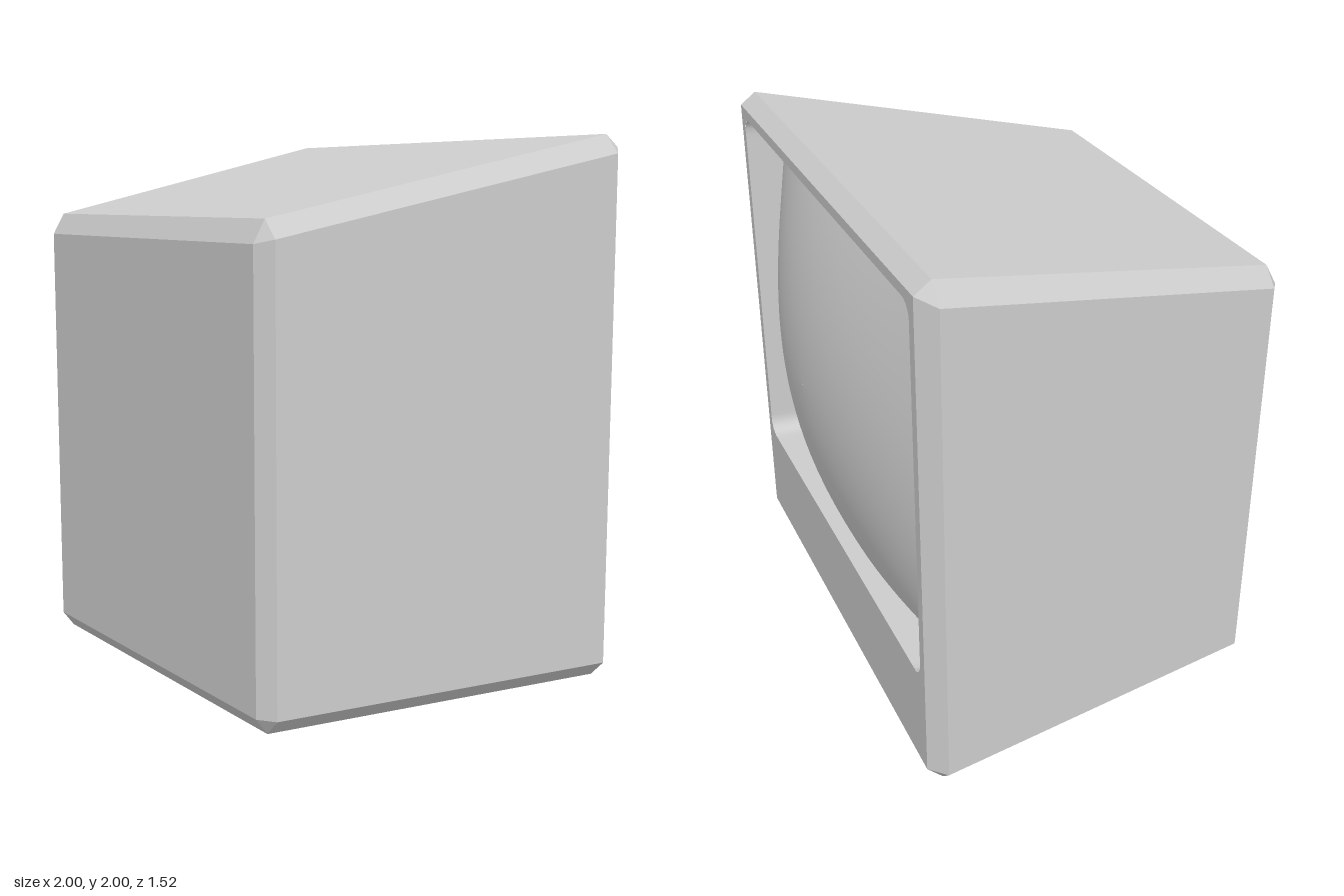
import * as THREE from 'three';
import { ConvexGeometry } from 'three/addons/geometries/ConvexGeometry.js';

const BACK = -0.665; // plane of the screen side
const HALF_W = 0.9, HALF_H = 0.73, MID_Y = 1.185; // screen opening

// Bulge of the glass, deepest at the corners of the opening
function glassZ(x, y) {
  const u = (x / HALF_W) ** 2, v = ((y - MID_Y) / HALF_H) ** 2;
  return -0.76 + 0.21 * u + 0.16 * v - 0.1 * u * v;
}

// Counter-clockwise rounded rectangle
function openingPath() {
  const r = 0.06, w = HALF_W, b = MID_Y - HALF_H, t = MID_Y + HALF_H;
  const p = new THREE.Path();
  p.moveTo(-w + r, b);
  p.lineTo(w - r, b);
  p.absarc(w - r, b + r, r, -Math.PI / 2, 0);
  p.lineTo(w, t - r);
  p.absarc(w - r, t - r, r, 0, Math.PI / 2);
  p.lineTo(-w + r, t);
  p.absarc(-w + r, t - r, r, Math.PI / 2, Math.PI);
  p.lineTo(-w, b + r);
  p.absarc(-w + r, b + r, r, Math.PI, Math.PI * 1.5);
  return p;
}

// Joins closed loops of equal length into a surface seen from -z
function loft(loops) {
  const n = loops[0].length, index = [];
  for (let i = 0; i < loops.length - 1; i++) {
    for (let j = 0; j < n; j++) {
      const k = (j + 1) % n;
      const a = i * n + j, b = i * n + k, c = a + n, d = b + n;
      index.push(a, d, c, a, b, d);
    }
  }
  const g = new THREE.BufferGeometry().setFromPoints(loops.flat());
  g.setIndex(index);
  g.computeVertexNormals();
  return g;
}

// Chamfered, tapered case without the face that holds the screen
function caseGeometry() {
  const pts = [];
  for (const s of [-1, 1]) {
    pts.push(
      // wide end: side, top/bottom and end corners
      [s, 0.06, -0.605], [s, 1.93, -0.605],
      [s * 0.94, 0, -0.605], [s * 0.94, 2, -0.605],
      [s * 0.94, 0.06, BACK], [s * 0.94, 1.955, BACK],
      // narrow end
      [s * 0.805, 0.06, 0.72], [s * 0.805, 1.645, 0.72],
      [s * 0.745, 0, 0.72], [s * 0.745, 1.71, 0.72],
      [s * 0.745, 0.06, 0.765], [s * 0.745, 1.63, 0.765]
    );
  }
  const hull = new ConvexGeometry(pts.map((p) => new THREE.Vector3(...p)));
  const pos = hull.attributes.position.array, kept = [];
  for (let i = 0; i < pos.length; i += 9) {
    const onBack = [2, 5, 8].every((k) => pos[i + k] < BACK + 0.005);
    if (!onBack) kept.push(...pos.slice(i, i + 9));
  }
  const g = new THREE.BufferGeometry();
  g.setAttribute('position', new THREE.Float32BufferAttribute(kept, 3));
  g.computeVertexNormals();
  return g;
}

export function createModel() {
  const group = new THREE.Group();
  group.name = 'monitor';
  const grey = new THREE.MeshStandardMaterial({ color: 0xcccccc });
  grey.name = 'light grey';

  const add = (name, geometry) => {
    const mesh = new THREE.Mesh(geometry, grey);
    mesh.name = name;
    group.add(mesh);
    return mesh;
  };

  add('case', caseGeometry());

  // Flat frame around the screen
  const frame = new THREE.Shape([
    new THREE.Vector2(-0.94, 0.06), new THREE.Vector2(0.94, 0.06),
    new THREE.Vector2(0.94, 1.955), new THREE.Vector2(-0.94, 1.955)
  ]);
  frame.holes.push(openingPath());
  const bezel = add('screenFrame', new THREE.ShapeGeometry(frame, 8));
  bezel.rotation.y = Math.PI;
  bezel.position.z = BACK;

  // Outline of the opening, without the repeated last point
  const outline = openingPath().getSpacedPoints(240);
  if (outline[0].distanceTo(outline[outline.length - 1]) < 1e-4) outline.pop();
  const ring = (t, z) => outline.map((p) => {
    const x = p.x * t, y = MID_Y + (p.y - MID_Y) * t;
    return new THREE.Vector3(x, y, z ?? glassZ(x, y));
  });

  // Recess walls run from the glass edge out to the frame
  add('screenRecess', loft([ring(1), ring(1, BACK)]));

  // Bulging glass
  const rings = [];
  for (let i = 0; i <= 14; i++) rings.push(ring(Math.max(i / 14, 0.001)));
  add('screen', loft(rings));

  return group;
}
